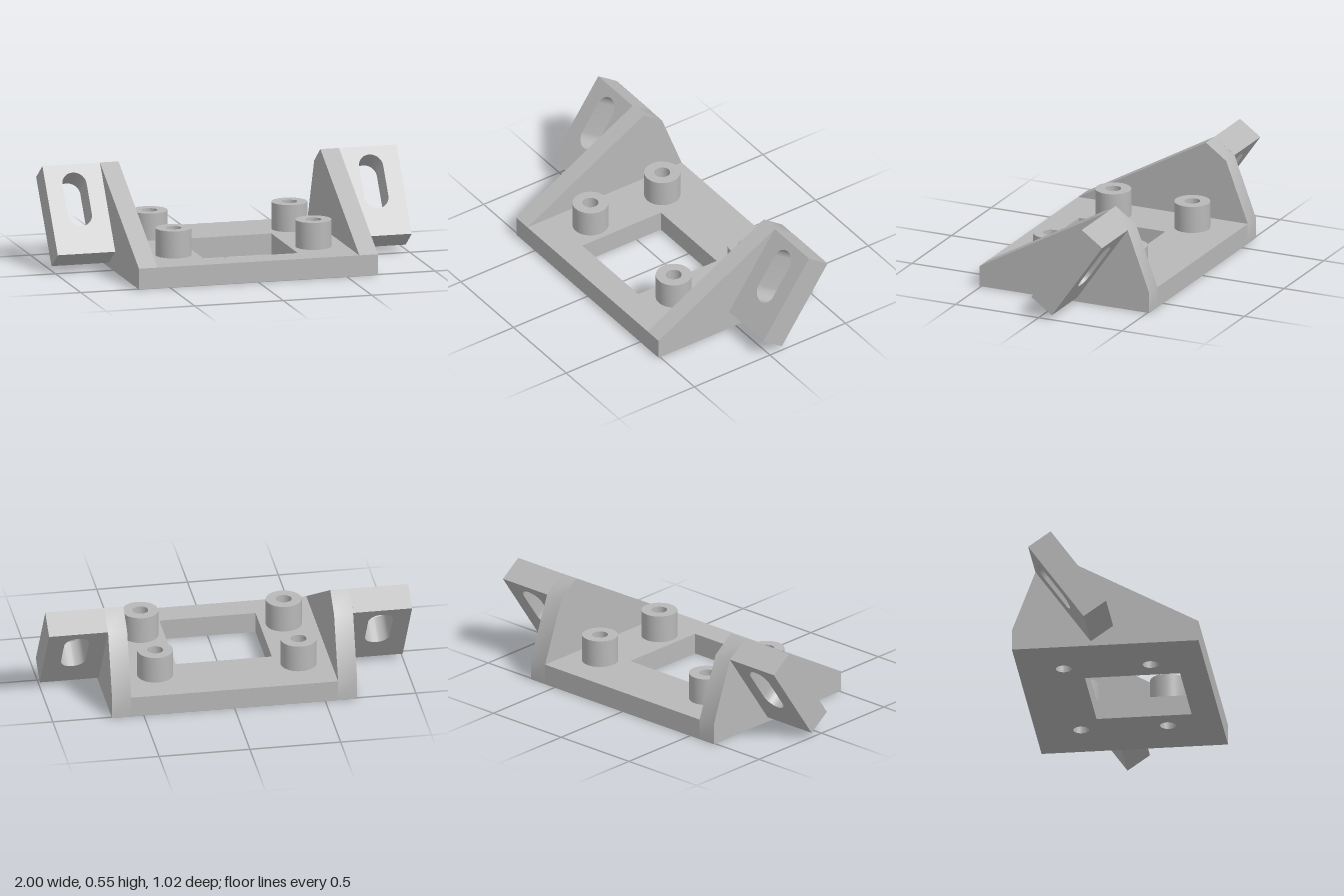
import * as THREE from 'three';
import { toCreasedNormals } from 'three/addons/utils/BufferGeometryUtils.js';

const grey = new THREE.MeshStandardMaterial({ color: 0xb8b8b8 });
grey.name = 'grey plastic';

// Named solid from a shape, with smooth curves and sharp edges
function solid(name, shape, depth) {
  const extruded = new THREE.ExtrudeGeometry(shape, { depth, bevelEnabled: false, curveSegments: 24 });
  const mesh = new THREE.Mesh(toCreasedNormals(extruded, 0.6), grey);
  mesh.name = name;
  return mesh;
}

const polygon = (points) => new THREE.Shape(points.map(([x, y]) => new THREE.Vector2(x, y)));
const rectangle = (x0, y0, x1, y1) => polygon([[x0, y0], [x1, y0], [x1, y1], [x0, y1]]);

function circle(Type, x, y, r) {
  const path = new Type();
  path.absarc(x, y, r, 0, Math.PI * 2, false);
  return path;
}

export function createModel() {
  const model = new THREE.Group();
  model.name = 'mountingBracket';

  const plateTop = 0.115, wallIn = 0.57, wallOut = 0.675, halfDepth = 0.51;
  const bossRadius = 0.098, boreRadius = 0.043;
  const bosses = [];
  for (const x of [-0.395, 0.395]) for (const z of [-0.26, 0.215]) bosses.push([x, z]);

  // Base plate with square window and screw holes
  const plateShape = rectangle(-wallIn, -halfDepth, wallIn, halfDepth);
  plateShape.holes.push(rectangle(-0.265, -0.36, 0.265, 0.16));
  for (const [x, z] of bosses) plateShape.holes.push(circle(THREE.Path, x, -z, boreRadius));
  const plate = solid('basePlate', plateShape, plateTop);
  plate.rotation.x = -Math.PI / 2;
  model.add(plate);

  // Hollow standoffs
  for (const [x, z] of bosses) {
    const ring = circle(THREE.Shape, 0, 0, bossRadius);
    ring.holes.push(circle(THREE.Path, 0, 0, boreRadius));
    const boss = solid('standoff', ring, 0.15);
    boss.rotation.x = -Math.PI / 2;
    boss.position.set(x, plateTop, z);
    model.add(boss);
  }

  // Sloped side walls: profile runs from front to back
  const wallShape = polygon([
    [-halfDepth, 0], [halfDepth, 0], [halfDepth, plateTop],
    [0.381, 0.457], [0.259, 0.545], [-halfDepth, plateTop],
  ]);

  // Tilted mounting ear with a long slot
  const earWidth = 1 - wallOut, earLength = 0.528;
  const slotRadius = 0.068, slotHalf = 0.09, slotY = 0.321;
  const earShape = rectangle(-earWidth / 2, 0, earWidth / 2, earLength);
  const slot = new THREE.Path();
  slot.absarc(0, slotY + slotHalf, slotRadius, 0, Math.PI, false);
  slot.absarc(0, slotY - slotHalf, slotRadius, Math.PI, Math.PI * 2, false);
  slot.closePath();
  earShape.holes.push(slot);

  for (const side of [-1, 1]) {
    const label = side > 0 ? 'left' : 'right';
    const wall = solid(label + 'Wall', wallShape, wallOut - wallIn);
    wall.rotation.y = Math.PI / 2;
    wall.position.x = side > 0 ? wallIn : -wallOut;

    const ear = solid(label + 'Ear', earShape, 0.15);
    ear.rotation.x = -THREE.MathUtils.degToRad(35);
    ear.position.set(side * (wallOut + earWidth / 2), 0.026, -0.079);
    model.add(wall, ear);
  }

  return model;
}
